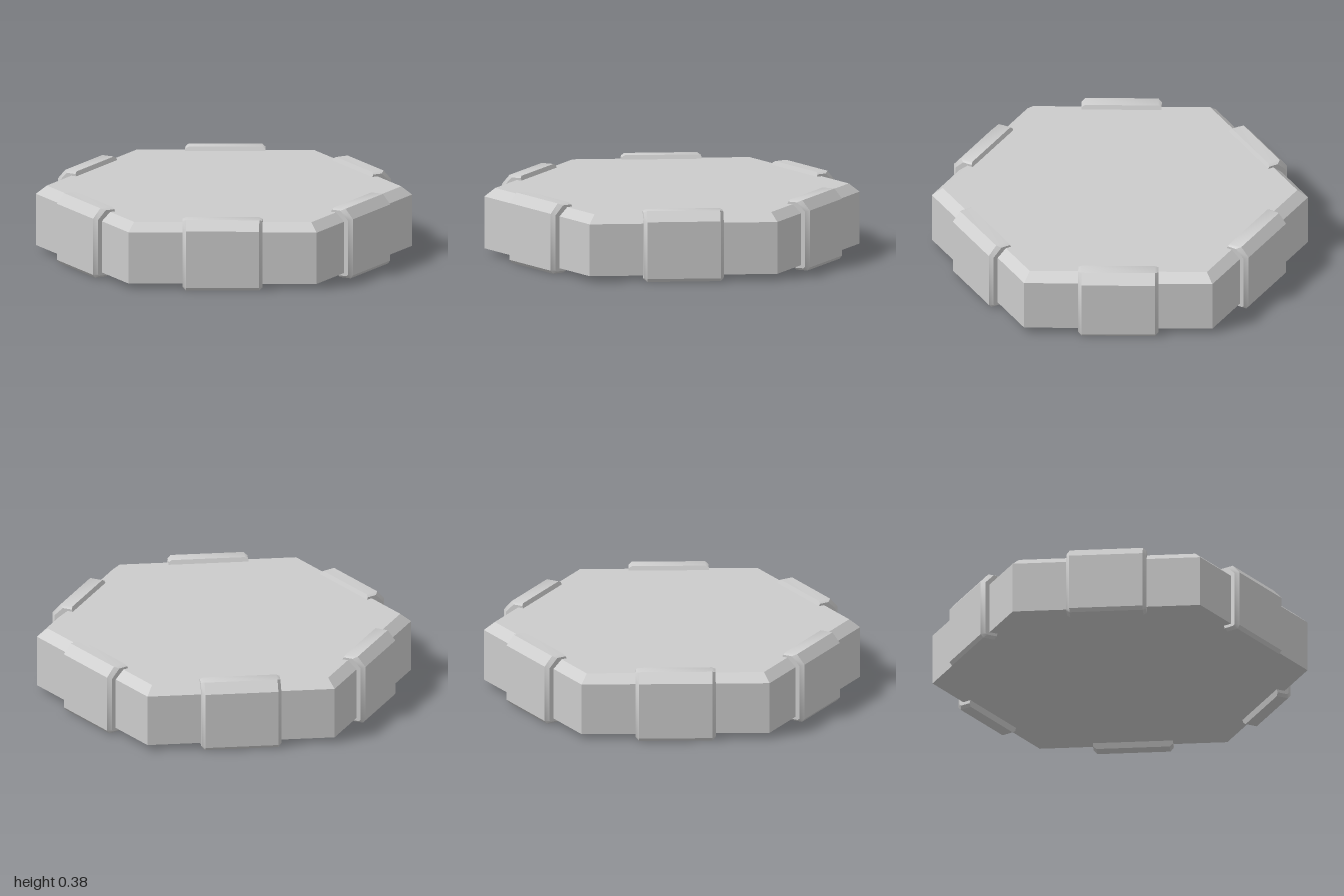
import * as THREE from 'three';
import { toCreasedNormals } from 'three/addons/utils/BufferGeometryUtils.js';

// Clamp cross-section as [z, y], from the top lip down to the bottom lip
const OUTER = [[0.795, 0.377], [0.865, 0.377], [0.91, 0.325], [0.91, 0.018], [0.895, 0], [0.83, 0]];
const INNER = [[0.785, 0.355], [0.815, 0.355], [0.866, 0.31], [0.866, 0.03], [0.86, 0.03], [0.82, 0.03]];

// Loft the C-shaped section across the clamp width, thinner at both ends for a bevelled rim
function clampGeometry() {
  const stations = [[-0.213, 0.45], [-0.195, 0], [0.195, 0], [0.213, 0.45]];
  const n = OUTER.length, ring = 2 * n;
  const positions = [], index = [];
  for (const [x, inset] of stations) {
    OUTER.forEach(([z, y], i) => {
      const [zi, yi] = INNER[i];
      positions.push(x, y + (yi - y) * inset, z + (zi - z) * inset);
    });
    [...INNER].reverse().forEach(([z, y]) => positions.push(x, y, z));
  }
  const quad = (a, b, c, d) => index.push(a, b, c, a, c, d);
  for (let s = 0; s < stations.length - 1; s++) {
    for (let j = 0; j < ring; j++) {
      const k = (j + 1) % ring, a = s * ring, b = a + ring;
      quad(a + j, a + k, b + k, b + j);
    }
  }
  // End caps
  const last = (stations.length - 1) * ring;
  for (let j = 0; j < n - 1; j++) {
    const p = ring - 1 - j;
    quad(last + j, last + j + 1, last + p - 1, last + p);
    quad(p, p - 1, j + 1, j);
  }
  const geometry = new THREE.BufferGeometry();
  geometry.setAttribute('position', new THREE.Float32BufferAttribute(positions, 3));
  geometry.setIndex(index);
  return toCreasedNormals(geometry, 0.6);
}

export function createModel() {
  const model = new THREE.Group();
  model.name = 'hexagonalTile';

  // Hexagonal slab with a chamfered top edge
  const profile = [[0, 0.03], [1, 0.03], [1, 0.31], [0.942, 0.355], [0, 0.355]]
    .map(([r, y]) => new THREE.Vector2(r, y));
  const slab = new THREE.Mesh(
    new THREE.LatheGeometry(profile, 6),
    new THREE.MeshStandardMaterial({ color: 0xcccccc, flatShading: true })
  );
  slab.name = 'slab';
  slab.rotation.y = Math.PI / 6;
  model.add(slab);

  // One clamp wrapped around the middle of each side
  const geometry = clampGeometry();
  const material = new THREE.MeshStandardMaterial({ color: 0xcccccc });
  for (let i = 0; i < 6; i++) {
    const clamp = new THREE.Mesh(geometry, material);
    clamp.name = `edgeClamp${i + 1}`;
    clamp.rotation.y = (i * Math.PI) / 3;
    model.add(clamp);
  }
  return model;
}
